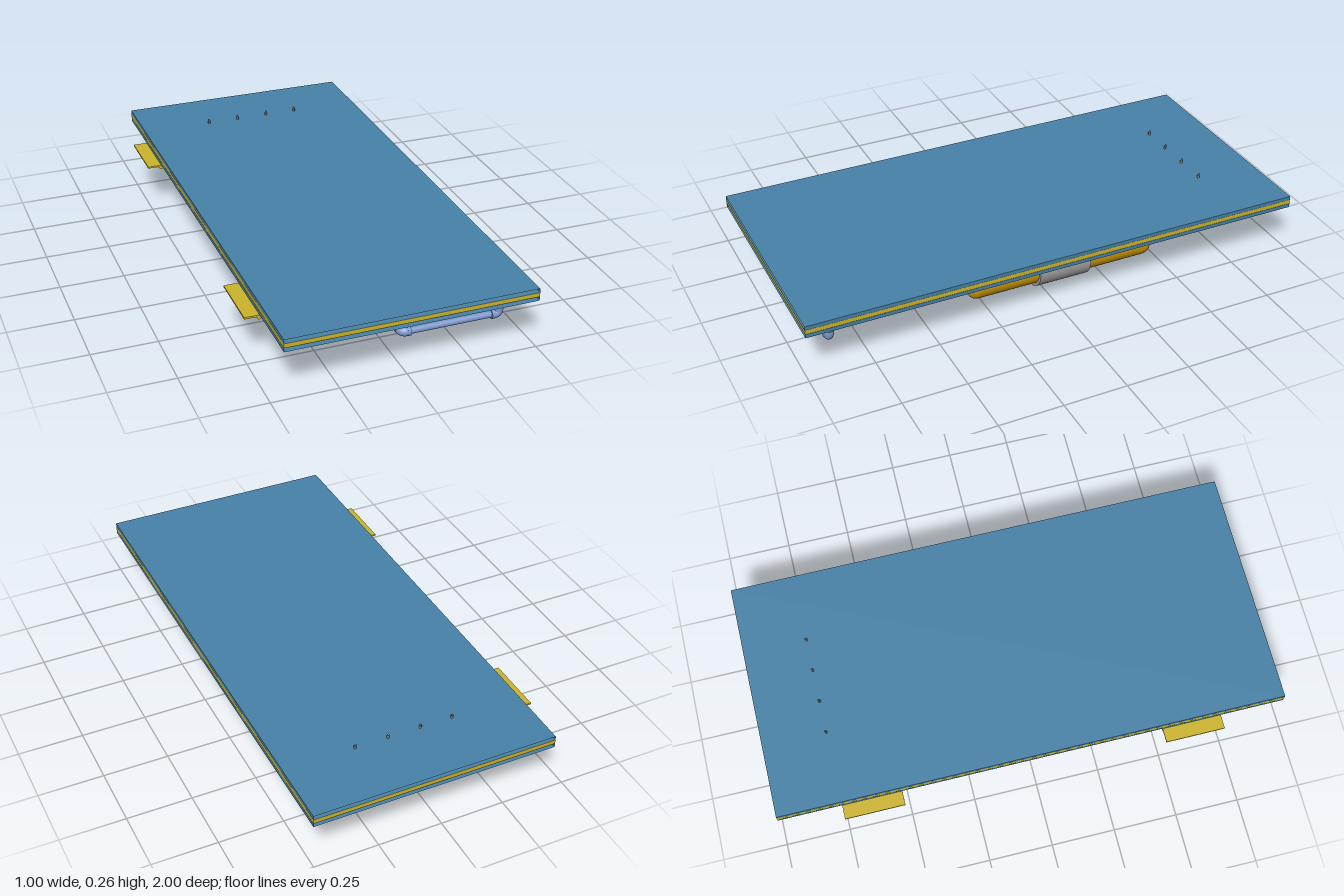
import * as THREE from 'three';

const mat = (name, color, side = THREE.FrontSide) => {
  const m = new THREE.MeshStandardMaterial({ color, side });
  m.name = name;
  return m;
};

export function createModel() {
  const root = new THREE.Group();
  root.name = 'tankPlatform';
  const blue = mat('panel blue', 0x4682a8, THREE.DoubleSide);
  const yellow = mat('core yellow', 0xcdb52c);
  const gold = mat('tank gold', 0xdba30f);
  const grey = mat('bracket grey', 0xa6a6a6);
  const pale = mat('pale fitting', 0xaec5cf);
  const pipeBlue = mat('outlet pipe blue', 0x7f99cf);
  const pinGrey = mat('pin grey', 0x808080);

  const add = (name, geo, material, x = 0, y = 0, z = 0) => {
    const m = new THREE.Mesh(geo, material);
    m.name = name;
    m.position.set(x, y, z);
    root.add(m);
    return m;
  };
  // Box given by its minimum and maximum corners
  const box = (name, a, b, material) => add(name,
    new THREE.BoxGeometry(b[0] - a[0], b[1] - a[1], b[2] - a[2]), material,
    (a[0] + b[0]) / 2, (a[1] + b[1]) / 2, (a[2] + b[2]) / 2);
  // Round or many-sided rod between two points
  const rod = (name, a, b, r, material, sides = 24) => {
    const p = new THREE.Vector3(...a), q = new THREE.Vector3(...b);
    let geo = new THREE.CylinderGeometry(r, r, p.distanceTo(q), sides);
    if (sides < 8) {
      geo = geo.toNonIndexed();
      geo.computeVertexNormals();
    }
    const m = add(name, geo, material);
    m.position.copy(p).add(q).multiplyScalar(0.5);
    m.quaternion.setFromUnitVectors(new THREE.Vector3(0, 1, 0), q.sub(p).normalize());
    return m;
  };
  // Pipe bend with a collar at each end; d1 and d2 are the outgoing directions
  const elbow = (name, corner, d1, d2, r, len, material) => {
    const c = new THREE.Vector3(...corner);
    const at = (d, s) => c.clone().addScaledVector(new THREE.Vector3(...d), s);
    const path = new THREE.QuadraticBezierCurve3(at(d1, len * 0.6), c, at(d2, len * 0.6));
    add(name, new THREE.TubeGeometry(path, 12, r, 20), material);
    for (const d of [d1, d2])
      rod(name + 'Collar', at(d, len * 0.58).toArray(), at(d, len).toArray(), r * 1.04, material);
  };

  // Sandwich deck: two hollow skins open at the ends, with a solid core
  const skin = (name, y0, y1) => {
    const geo = new THREE.BoxGeometry(0.95, y1 - y0, 2);
    geo.setIndex(Array.from(geo.index.array).slice(0, 24));
    geo.clearGroups();
    add(name, geo, blue, 0.025, (y0 + y1) / 2, 0);
  };
  skin('upperSkin', 0.223, 0.238);
  skin('lowerSkin', 0.19, 0.205);
  box('deckCore', [-0.45, 0.206, -1], [0.5, 0.2225, 1], yellow);

  // Row of small pins in blue sockets
  for (const x of [-0.168, -0.039, 0.091, 0.221]) {
    rod('pinSocket', [x, 0.223, -0.75], [x, 0.2375, -0.75], 0.005, blue, 12);
    rod('pin', [x, 0.236, -0.75], [x, 0.25, -0.75], 0.005, pinGrey, 12);
    rod('pinTip', [x, 0.25, -0.75], [x, 0.256, -0.754], 0.0035, pinGrey, 12);
  }

  // Hinges along one side
  for (const z of [-0.635, 0.63]) {
    box('hingeLeaf', [-0.505, 0.182, z - 0.117], [-0.396, 0.189, z + 0.117], yellow);
    rod('hingeBarrel', [-0.45, 0.18, z - 0.117], [-0.45, 0.18, z + 0.117], 0.009, yellow);
  }

  // Two tanks with necks, hex nuts and feed pipes
  const R = 0.083, half = 0.3825, e = 0.028;
  const profile = [new THREE.Vector2(0, -half)];
  for (let i = 0; i <= 6; i++) {
    const t = i / 6 * Math.PI / 2;
    profile.push(new THREE.Vector2(R - e + e * Math.sin(t), -half + e - e * Math.cos(t)));
  }
  for (let i = 0; i <= 6; i++) {
    const t = i / 6 * Math.PI / 2;
    profile.push(new THREE.Vector2(R - e + e * Math.cos(t), half - e + e * Math.sin(t)));
  }
  profile.push(new THREE.Vector2(0, half));
  const Y = 0.096, zHeader = 0.54;
  for (const [x, inward] of [[-0.231, 1], [0.285, -1]]) {
    add('tank', new THREE.LatheGeometry(profile, 40), gold, x, Y, -0.0825).rotation.x = Math.PI / 2;
    rod('tankNeck', [x, Y, 0.29], [x, Y, 0.335], 0.017, gold);
    rod('tankNut', [x, Y, 0.325], [x, Y, 0.388], 0.024, gold, 6);
    rod('feedPipe', [x, Y, 0.38], [x, Y, 0.52], 0.0125, pale);
    elbow('feedElbow', [x, Y, zHeader], [0, 0, -1], [inward, 0, 0], 0.0175, 0.035, pale);
  }
  rod('headerPipe', [-0.21, Y, zHeader], [0.265, Y, zHeader], 0.0125, pale);

  // Tee, link pipe and valve
  const vx = 0.028;
  rod('teeBody', [vx - 0.035, Y, zHeader], [vx + 0.035, Y, zHeader], 0.018, pale);
  rod('teeBranch', [vx, Y, zHeader], [vx, Y, zHeader + 0.035], 0.018, pale);
  rod('linkPipe', [vx, Y, 0.55], [vx, Y, 0.75], 0.0125, pale);
  box('valveBody', [vx - 0.02, Y - 0.022, 0.66], [vx + 0.02, Y + 0.022, 0.725], pale);
  rod('valveSideStem', [vx - 0.045, Y, 0.693], [vx + 0.037, Y, 0.693], 0.018, pale);
  rod('valveStem', [vx, 0.06, 0.693], [vx, 0.08, 0.693], 0.01, pale);
  rod('valveCap', [vx - 0.003, 0.03, 0.693], [vx - 0.003, 0.065, 0.693], 0.0175, pale);

  // Outlet pipe, running forward, across and up into the deck
  const zOut = 0.885, xOut = 0.403;
  rod('outletPipe', [vx, Y, 0.725], [vx, Y, 0.865], 0.0125, pipeBlue);
  elbow('outletElbow', [vx, Y, zOut], [0, 0, -1], [1, 0, 0], 0.0175, 0.03, pipeBlue);
  rod('crossPipe', [vx + 0.02, Y, zOut], [xOut - 0.02, Y, zOut], 0.0125, pipeBlue);
  elbow('riserElbow', [xOut, Y, zOut], [-1, 0, 0], [0, 1, 0], 0.0175, 0.03, pipeBlue);
  rod('riserPipe', [xOut, Y + 0.02, zOut], [xOut, 0.19, zOut], 0.0125, pipeBlue);
  rod('riserSocket', [xOut, 0.19, zOut], [xOut, 0.205, zOut], 0.0125, blue);

  // Control box with a chamfered lower front edge
  const side = new THREE.Shape([[-0.77, 0.19], [-0.77, 0.08], [-0.742, 0.053], [-0.57, 0.053], [-0.57, 0.19]]
    .map(([a, b]) => new THREE.Vector2(a, b)));
  add('controlBox', new THREE.ExtrudeGeometry(side, { depth: 0.29, bevelEnabled: false }),
    pale, -0.305).rotation.y = Math.PI / 2;

  // Tank bracket: rounded ring, posts and hanging straps
  const ringPath = (path, r) => {
    path.absarc(0.285, 0.094, r, -Math.PI / 2, Math.PI / 2, false);
    path.absarc(-0.229, 0.094, r, Math.PI / 2, Math.PI * 1.5, false);
    path.closePath();
    return path;
  };
  const ring = ringPath(new THREE.Shape(), 0.094);
  ring.holes.push(ringPath(new THREE.Path(), 0.075));
  const z0 = -0.185, z1 = 0.03;
  add('bracketRing', new THREE.ExtrudeGeometry(ring,
    { depth: z1 - z0, bevelEnabled: false, curveSegments: 24 }), grey, 0, 0, z0);
  for (const x of [-0.121, 0.172])
    box('bracketPost', [x - 0.011, 0.015, z0], [x + 0.011, 0.173, z1], grey);
  for (const x of [-0.323, 0.371])
    box('bracketStrap', [x, 0.094, z0], [x + 0.008, 0.19, z1], grey);

  return root;
}
